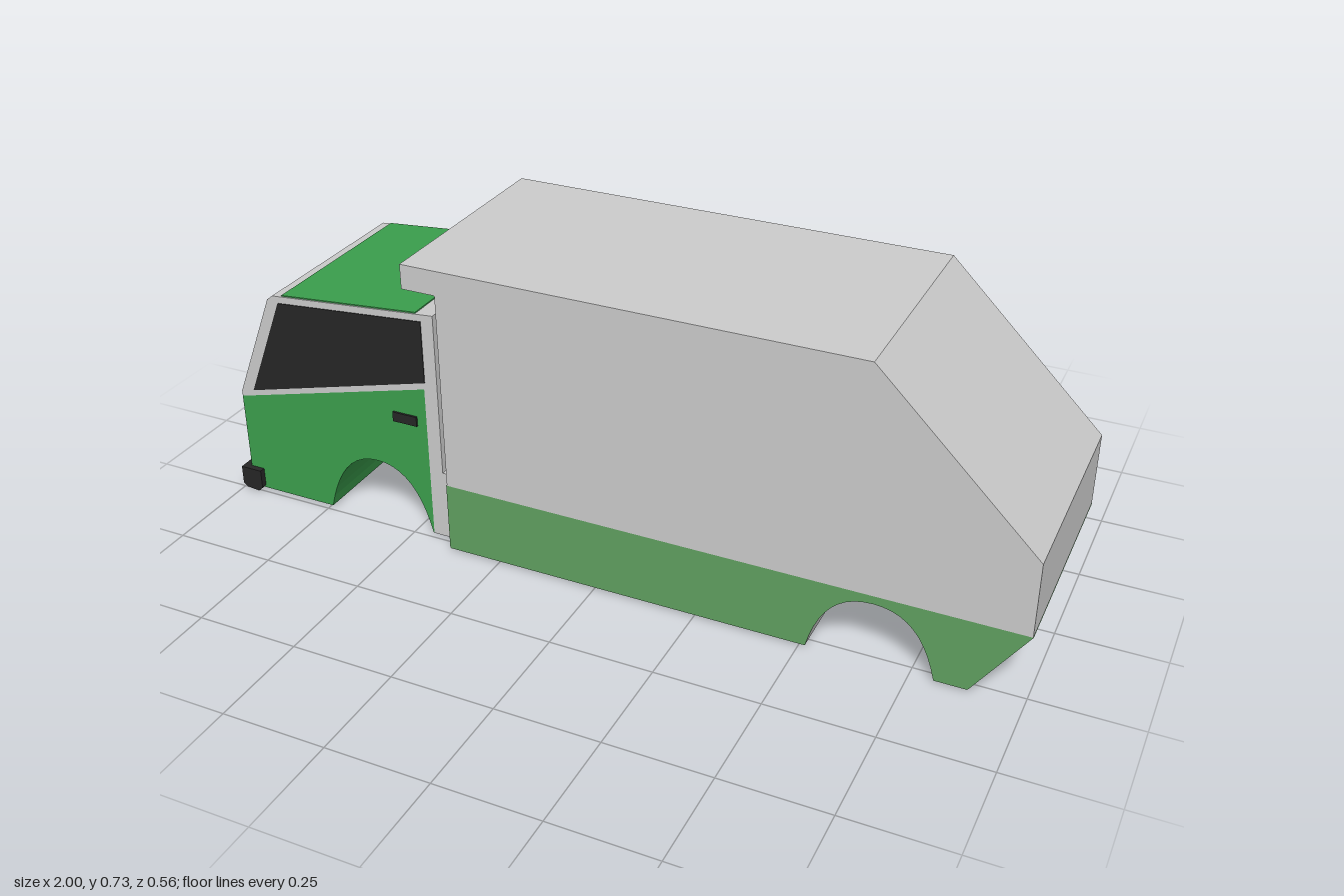
import * as THREE from 'three';

const paint = (color) => new THREE.MeshStandardMaterial({ color });
const grey = paint(0xcccccc);
const green = paint(0x3b9f4d);
const skirtGreen = paint(0x60a060);
const black = paint(0x262626);
const lamp = paint(0x7a3a1a);

// Side outline (x, y) from points; arches are wheel cut-outs [centre, top]
function outline(points) {
  const s = new THREE.Shape();
  s.moveTo(...points[0]);
  for (const p of points.slice(1)) {
    if (p.arch) {
      const [c, top, foot] = p.arch;
      s.lineTo(c - 0.145, foot);
      s.bezierCurveTo(c - 0.12, 0.11, c - 0.075, top, c, top);
      s.bezierCurveTo(c + 0.075, top, c + 0.12, 0.11, c + 0.145, foot);
    } else s.lineTo(...p);
  }
  return s;
}

export function createModel() {
  const model = new THREE.Group();

  // Side outline extruded across the vehicle from z0 to z1
  function prism(name, points, z0, z1, material) {
    const geo = new THREE.ExtrudeGeometry(outline(points), { depth: z1 - z0, bevelEnabled: false, curveSegments: 10 });
    geo.translate(0, 0, z0);
    const mesh = new THREE.Mesh(geo, material);
    mesh.name = name;
    model.add(mesh);
  }
  function box(name, x0, x1, y0, y1, z0, z1, material) {
    const mesh = new THREE.Mesh(new THREE.BoxGeometry(x1 - x0, y1 - y0, z1 - z0), material);
    mesh.position.set((x0 + x1) / 2, (y0 + y1) / 2, (z0 + z1) / 2);
    mesh.name = name;
    model.add(mesh);
  }

  // Cargo body with roof lip over the cab and sloping tail
  prism('cargoBody', [[-0.38, 0.18], [1, 0.18], [1, 0.36], [0.625, 0.73], [-0.465, 0.73], [-0.465, 0.67], [-0.38, 0.67]],
    -0.28, 0.28, grey);

  // Lower skirt: painted sides, bare underside and arch
  prism('cargoSkirt', [[-0.38, 0.005], { arch: [0.66, 0.16, 0.005] }, [0.878, 0.005], [1, 0.18], [-0.38, 0.18]],
    -0.28, 0.28, [skirtGreen, grey]);
  prism('rearSkirtPanel', [[0.876, 0.006], [0.88, 0.006], [1.001, 0.18], [0.996, 0.18]], -0.28, 0.28, skirtGreen);
  box('frontSkirtPanel', -0.382, -0.379, 0.006, 0.18, -0.28, 0.28, skirtGreen);

  // Cab
  prism('cabLower', [[-0.98, 0.005], { arch: [-0.597, 0.172, 0.005] }, [-0.45, 0.005], [-0.45, 0.4], [-0.98, 0.26]],
    -0.24, 0.24, green);
  prism('cabUpper', [[-0.98, 0.26], [-0.45, 0.4], [-0.45, 0.592], [-0.855, 0.557], [-0.87, 0.545], [-0.98, 0.275]],
    -0.24, 0.24, grey);
  prism('cabBackWall', [[-0.45, 0.005], [-0.38, 0.005], [-0.38, 0.183], [-0.415, 0.183], [-0.415, 0.595], [-0.45, 0.592]],
    -0.24, 0.24, grey);
  prism('cabRoofPanel', [[-0.83, 0.555], [-0.462, 0.587], [-0.462, 0.594], [-0.83, 0.562]], -0.237, 0.237, green);
  prism('windscreen', [[-0.972, 0.285], [-0.875, 0.523], [-0.879, 0.528], [-0.977, 0.288]], -0.22, 0.22, black);

  // Parts on both sides of the cab
  for (const s of [-1, 1]) {
    const span = (a, b) => (s > 0 ? [a, b] : [-b, -a]);
    prism('sideWindow', [[-0.943, 0.285], [-0.447, 0.418], [-0.447, 0.575], [-0.84, 0.541]], ...span(0.236, 0.242), black);
    box('doorHandle', -0.54, -0.475, 0.297, 0.322, ...span(0.236, 0.245), black);
    box('headlamp', -0.983, -0.975, 0.055, 0.1, ...span(0.15, 0.23), lamp);
    prism('bumperEnd', [[-0.99, 0.004], [-0.955, 0], [-0.943, 0.012], [-0.943, 0.06], [-1, 0.06], [-1, 0.012]],
      ...span(0.235, 0.255), black);
  }
  prism('bumper', [[-0.99, 0.004], [-0.97, 0.004], [-0.97, 0.06], [-1, 0.06], [-1, 0.012]], -0.237, 0.237, black);

  // Grille slats, narrowing downward
  for (let i = 0; i < 6; i++) {
    const y = 0.145 + i * 0.015, w = 0.1 + i * 0.006;
    box('grilleSlat', -0.983, -0.975, y, y + 0.009, -w, w, black);
  }
  return model;
}
